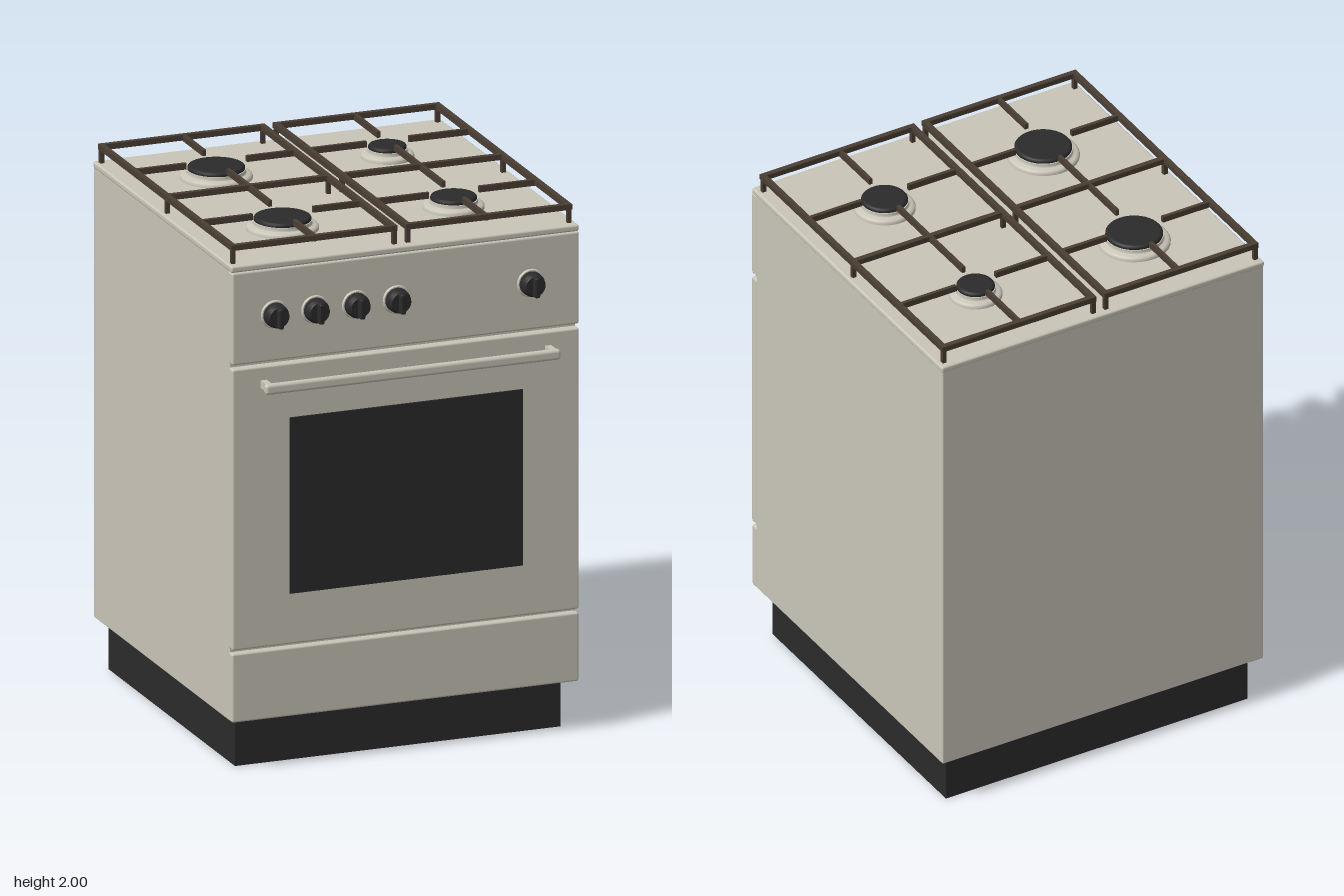
import * as THREE from 'three';
import { RoundedBoxGeometry } from 'three/addons/geometries/RoundedBoxGeometry.js';

const makeMaterial = (name, color) => {
  const m = new THREE.MeshStandardMaterial({ color });
  m.name = name;
  return m;
};

export function createModel() {
  const steel = makeMaterial('warm steel', 0xc9c5b8);
  const black = makeMaterial('black', 0x2b2b2b);
  const iron = makeMaterial('brown iron', 0x4a3e33);

  const model = new THREE.Group();
  model.name = 'cooker';

  const add = (parent, name, geometry, material, x, y, z) => {
    const mesh = new THREE.Mesh(geometry, material);
    mesh.name = name;
    mesh.position.set(x, y, z);
    parent.add(mesh);
    return mesh;
  };
  // Box given by its minimum and maximum corners, optionally rounded
  const box = (parent, name, material, [x0, y0, z0], [x1, y1, z1], r = 0) => {
    const s = [x1 - x0, y1 - y0, z1 - z0];
    const g = r ? new RoundedBoxGeometry(...s, 2, r) : new THREE.BoxGeometry(...s);
    return add(parent, name, g, material, (x0 + x1) / 2, (y0 + y1) / 2, (z0 + z1) / 2);
  };
  const group = (name, parent = model) => {
    const g = new THREE.Group();
    g.name = name;
    parent.add(g);
    return g;
  };

  // Carcass and front panels
  box(model, 'plinth', black, [-0.635, 0, -0.675], [0.635, 0.2, 0.56]);
  box(model, 'body', steel, [-0.675, 0.19, -0.72], [0.675, 1.91, 0.606], 0.004);
  box(model, 'cooktop', steel, [-0.679, 1.902, -0.722], [0.679, 1.927, 0.635], 0.008);
  box(model, 'drawerFront', steel, [-0.677, 0.19, 0.6], [0.677, 0.452, 0.637], 0.008);
  box(model, 'ovenDoor', steel, [-0.677, 0.466, 0.6], [0.677, 1.536, 0.64], 0.008);
  box(model, 'controlPanel', steel, [-0.677, 1.552, 0.6], [0.677, 1.903, 0.64], 0.008);
  box(model, 'ovenWindow', black, [-0.455, 0.66, 0.639], [0.455, 1.33, 0.647]);

  // Door handle on two posts
  const handle = group('doorHandle');
  box(handle, 'handleBar', steel, [-0.578, 1.45, 0.693], [0.575, 1.49, 0.722], 0.012);
  for (const side of [-1, 1]) {
    const x = side * 0.555;
    box(handle, 'handlePost', steel, [x - 0.012, 1.456, 0.63], [x + 0.012, 1.484, 0.7]);
  }

  // Control knobs, each with a bezel and a raised grip
  const lathe = (points) =>
    new THREE.LatheGeometry(points.map(([r, y]) => new THREE.Vector2(r, y)), 40);
  const knobGeometry = lathe([
    [0.046, 0], [0.046, 0], [0.045, 0.025], [0.045, 0.025],
    [0.04, 0.042], [0.037, 0.046], [0.037, 0.046], [0, 0.046],
  ]);
  const bezelGeometry = new THREE.CylinderGeometry(0.05, 0.054, 0.008, 40);
  for (const x of [-0.513, -0.355, -0.196, -0.037, 0.487]) {
    const knob = group('controlKnob');
    knob.position.set(x, 1.73, 0.64);
    add(knob, 'bezel', bezelGeometry, steel, 0, 0, 0.003).rotation.x = Math.PI / 2;
    add(knob, 'knobBody', knobGeometry, black, 0, 0, 0.004).rotation.x = Math.PI / 2;
    box(knob, 'knobGrip', black, [-0.01, -0.038, 0.04], [0.01, 0.038, 0.074], 0.006);
  }

  // Burners: stepped steel base under a black cap
  const burners = [
    { x: -0.336, z: -0.373, ring: 0.133, cap: 0.105 },
    { x: -0.336, z: 0.275, ring: 0.133, cap: 0.105 },
    { x: 0.332, z: -0.373, ring: 0.098, cap: 0.07 },
    { x: 0.332, z: 0.275, ring: 0.113, cap: 0.085 },
  ];
  for (const { x, z, ring, cap } of burners) {
    const burner = group('burner');
    burner.position.set(x, 1.925, z);
    add(burner, 'burnerBase', lathe([
      [ring, 0], [ring, 0.01], [ring - 0.004, 0.017], [ring - 0.012, 0.02],
      [cap + 0.006, 0.022], [cap + 0.003, 0.025], [cap + 0.003, 0.036],
      [cap + 0.003, 0.036], [0, 0.036],
    ]), steel, 0, 0, 0);
    add(burner, 'burnerCap', lathe([
      [cap - 0.006, 0.034], [cap, 0.037], [cap, 0.044], [cap - 0.004, 0.049],
      [cap - 0.01, 0.051], [cap - 0.01, 0.051], [0, 0.051],
    ]), black, 0, 0, 0);
  }

  // Pan supports: frame, middle bar, legs and fingers reaching each burner
  const top = 1.998, under = 1.977, zBack = -0.7, zFront = 0.604, zMid = -0.048, w = 0.02;
  for (const [name, x0, x1] of [['leftPanSupport', 0.015, 0.664], ['rightPanSupport', -0.667, -0.018]]) {
    const support = group(name);
    for (const x of [x0, x1 - w])
      box(support, 'sideBar', iron, [x, under, zBack], [x + w, top, zFront]);
    for (const z of [zBack, zMid - w / 2, zFront - w]) {
      box(support, 'crossBar', iron, [x0 + w, under, z], [x1 - w, top, z + w]);
      for (const x of [x0, x1 - w])
        box(support, 'leg', iron, [x + 0.002, 1.92, z + 0.002], [x + w - 0.002, under, z + w - 0.002]);
    }
    for (const b of burners.filter((b) => b.x > x0 && b.x < x1)) {
      const reach = b.ring - 0.015, h = 0.007, low = 1.974, high = 1.997;
      const za = b.z < zMid ? zBack : zMid, zb = b.z < zMid ? zMid : zFront;
      box(support, 'finger', iron, [x0 + 0.01, low, b.z - h], [b.x - reach, high, b.z + h]);
      box(support, 'finger', iron, [b.x + reach, low, b.z - h], [x1 - 0.01, high, b.z + h]);
      box(support, 'finger', iron, [b.x - h, low, za + 0.005], [b.x + h, high, b.z - reach]);
      box(support, 'finger', iron, [b.x - h, low, b.z + reach], [b.x + h, high, zb - 0.005]);
    }
  }
  return model;
}
